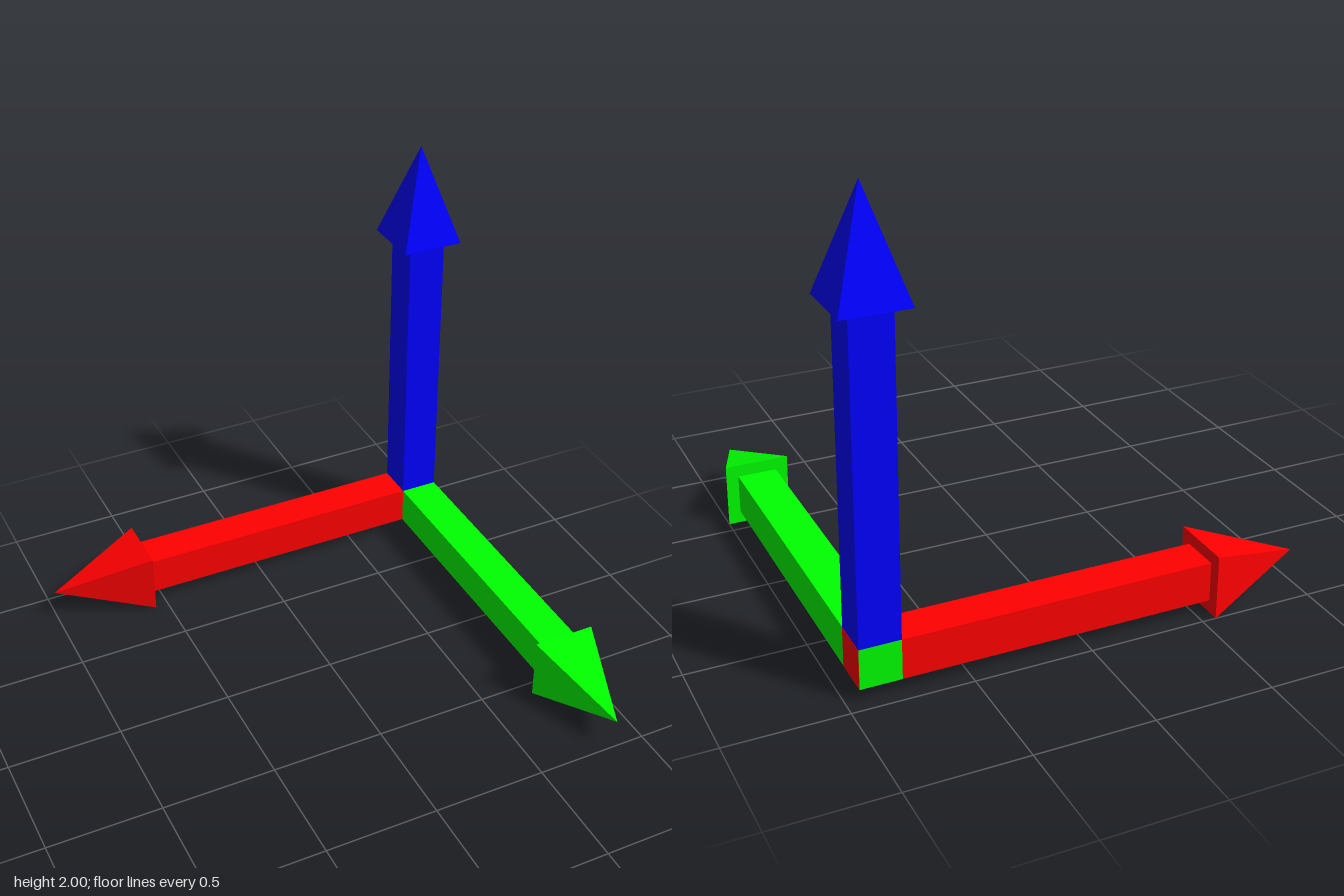
import * as THREE from 'three';

const HEAD = 0.14;        // half width of an arrow head
const SHAFT = 0.086;      // half width of a shaft
const NECK = 1.42;        // origin to base of head
const TIP = 1.86;         // origin to tip

// One square arrow pointing along +y from the shared corner
function makeArrow(name, color) {
  const material = new THREE.MeshStandardMaterial({ color, flatShading: true });
  const arrow = new THREE.Group();
  arrow.name = name;

  // Shaft runs through the corner; its tail sits a hair proud so end caps stay clean
  const tail = SHAFT + 0.001;
  const shaftGeo = new THREE.BoxGeometry(2 * SHAFT, NECK + tail, 2 * SHAFT);
  shaftGeo.translate(0, (NECK - tail) / 2, 0);
  const shaft = new THREE.Mesh(shaftGeo, material);
  shaft.name = name + 'Shaft';

  // Four-sided pyramid head with closed base
  const headGeo = new THREE.ConeGeometry(HEAD * Math.SQRT2, TIP - NECK, 4);
  headGeo.rotateY(Math.PI / 4);
  headGeo.translate(0, (TIP + NECK) / 2, 0);
  const head = new THREE.Mesh(headGeo, material);
  head.name = name + 'Head';

  arrow.add(shaft, head);
  return arrow;
}

export function createModel() {
  const model = new THREE.Group();
  model.name = 'axisArrows';

  const up = makeArrow('upArrow', 0x0000ff);
  const side = makeArrow('sideArrow', 0xff0000);
  side.rotation.z = Math.PI / 2;    // points to -x
  const forward = makeArrow('forwardArrow', 0x00ff00);
  forward.rotation.x = Math.PI / 2; // points to +z

  for (const arrow of [up, side, forward]) {
    arrow.position.set(1 - HEAD, HEAD, HEAD - 1);
    model.add(arrow);
  }
  return model;
}
